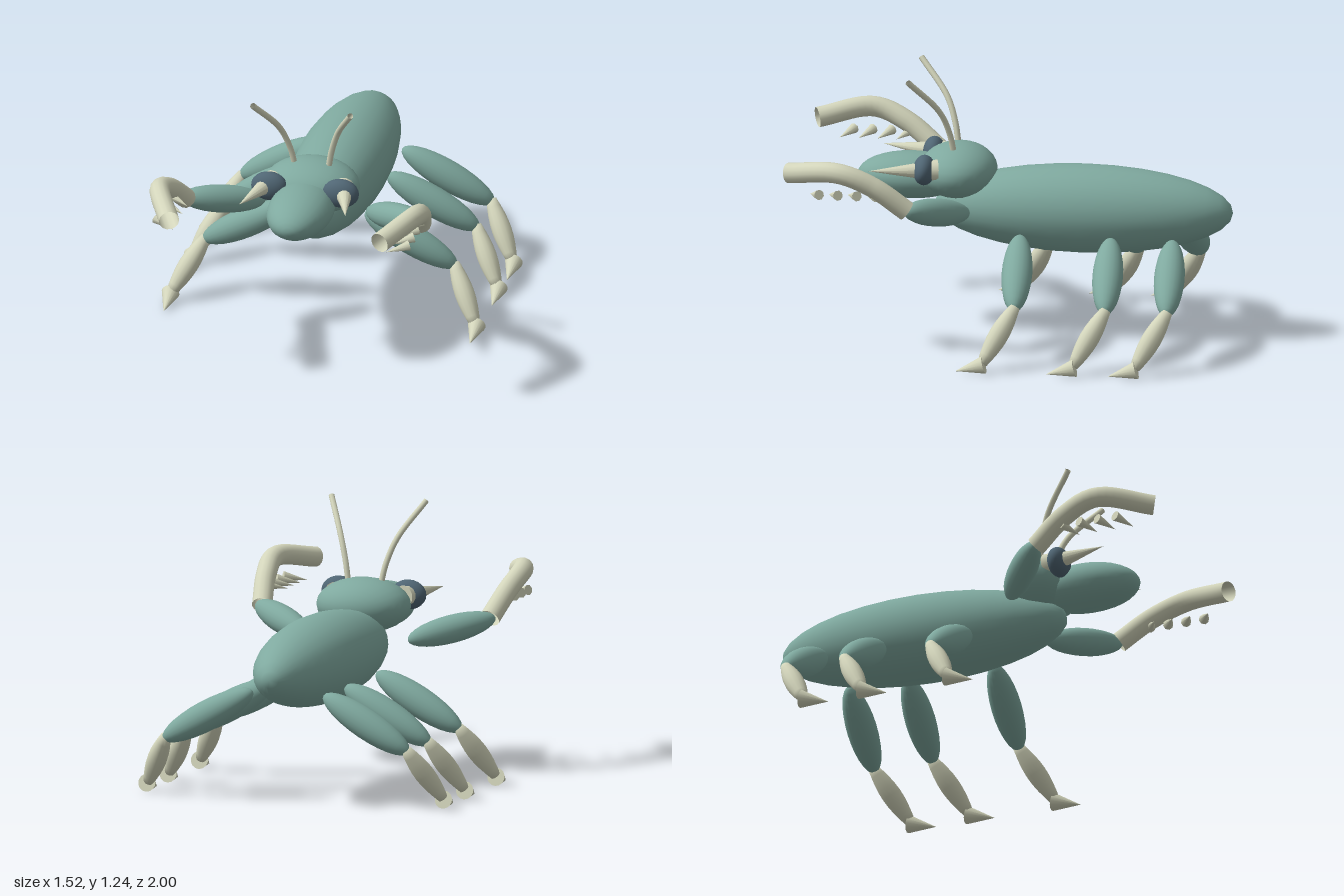
import * as THREE from 'three';

const mat = (name, color) => {
  const m = new THREE.MeshStandardMaterial({ color });
  m.name = name;
  return m;
};
const v = (p) => new THREE.Vector3(...p);

export function createModel() {
  const root = new THREE.Group();
  root.name = 'beetle';
  const shell = mat('teal shell', 0x7fa99f);
  const horn = mat('pale horn', 0xd3d5bb);
  const dark = mat('slate eye', 0x506674);
  const hornOpen = horn; // shared by closed parts and open tubes
  hornOpen.side = THREE.DoubleSide;

  const add = (parent, name, geo, material) => {
    const m = new THREE.Mesh(geo, material);
    m.name = name;
    parent.add(m);
    return m;
  };
  const ellipsoid = (parent, name, center, radii, material) => {
    const geo = new THREE.SphereGeometry(1, 24, 16).rotateX(Math.PI / 2);
    const m = add(parent, name, geo, material);
    m.position.set(...center);
    m.scale.set(...radii);
  };
  // Places a geometry built along +y, centred, between two points
  const between = (parent, name, geo, a, b, material) => {
    const from = v(a), to = v(b);
    const m = add(parent, name, geo, material);
    m.position.copy(from).add(to).multiplyScalar(0.5);
    m.quaternion.setFromUnitVectors(new THREE.Vector3(0, 1, 0), to.sub(from).normalize());
    return m;
  };
  const dist = (a, b) => v(a).distanceTo(v(b));
  const spindle = (parent, name, a, b, r) =>
    between(parent, name, new THREE.SphereGeometry(1, 20, 14).scale(r, dist(a, b) / 2, r), a, b, shell);
  const cone = (parent, name, a, b, r, sides) =>
    between(parent, name, new THREE.ConeGeometry(r, dist(a, b), sides), a, b, horn);
  const tube = (parent, name, points, r, sides) =>
    add(parent, name, new THREE.TubeGeometry(new THREE.CatmullRomCurve3(points.map(v)), 20, r, sides), hornOpen);

  // Body and head
  ellipsoid(root, 'abdomen', [0, 0.607, -0.312], [0.215, 0.203, 0.688], shell);
  ellipsoid(root, 'head', [0, 0.77, 0.265], [0.222, 0.126, 0.178], shell);
  ellipsoid(root, 'snout', [0, 0.738, 0.478], [0.15, 0.107, 0.25], shell);

  for (const s of [1, -1]) {
    const side = new THREE.Group();
    side.name = s > 0 ? 'leftSide' : 'rightSide';
    root.add(side);
    const p = (x, y, z) => [s * x, y, z];

    // Face
    ellipsoid(side, 'eye', p(0.168, 0.805, 0.4), [0.085, 0.069, 0.05], dark);
    cone(side, 'mandible', p(0.166, 0.805, 0.34), p(0.25, 0.812, 0.646), 0.05, 12);
    tube(side, 'antenna', [p(0.078, 0.86, 0.275), p(0.098, 0.96, 0.292),
      p(0.138, 1.075, 0.335), p(0.23, 1.232, 0.467)], 0.014, 8);

    // Raised foreleg with a row of spines
    spindle(side, 'foreFemur', p(0.242, 0.628, 0.187), p(0.578, 0.716, 0.433), 0.065);
    tube(side, 'foreClaw', [p(0.553, 0.712, 0.428), p(0.588, 0.825, 0.575),
      p(0.6, 0.89, 0.735), p(0.495, 0.857, 0.982)], 0.047, 14);
    for (let i = 0; i < 4; i++) {
      const z = 0.62 + i * 0.087;
      cone(side, 'clawSpine', p(0.595, 0.785, z - 0.055), p(0.498, 0.764, z), 0.024, 8);
    }

    // Walking legs
    for (const dz of [0, -0.418, -0.702]) {
      const leg = new THREE.Group();
      leg.name = 'walkingLeg';
      leg.position.z = dz;
      side.add(leg);
      spindle(leg, 'femur', p(0.172, 0.51, -0.042), p(0.598, 0.271, -0.072), 0.07);
      const knee = p(0.583, 0.285, -0.075), ankle = p(0.715, 0.05, 0.058);
      const h = dist(knee, ankle);
      const profile = [new THREE.Vector2(0, -h / 2)];
      for (let i = 0; i <= 8; i++) {
        profile.push(new THREE.Vector2(0.024 + 0.022 * Math.sin((i / 8) * Math.PI), (i / 8 - 0.5) * h));
      }
      profile.push(new THREE.Vector2(0, h / 2));
      between(leg, 'tibia', new THREE.LatheGeometry(profile, 14), knee, ankle, horn);
      cone(leg, 'foot', p(0.72, 0.044, 0.05), p(0.72, 0.009, 0.182), 0.042, 14);
    }
  }
  return root;
}
